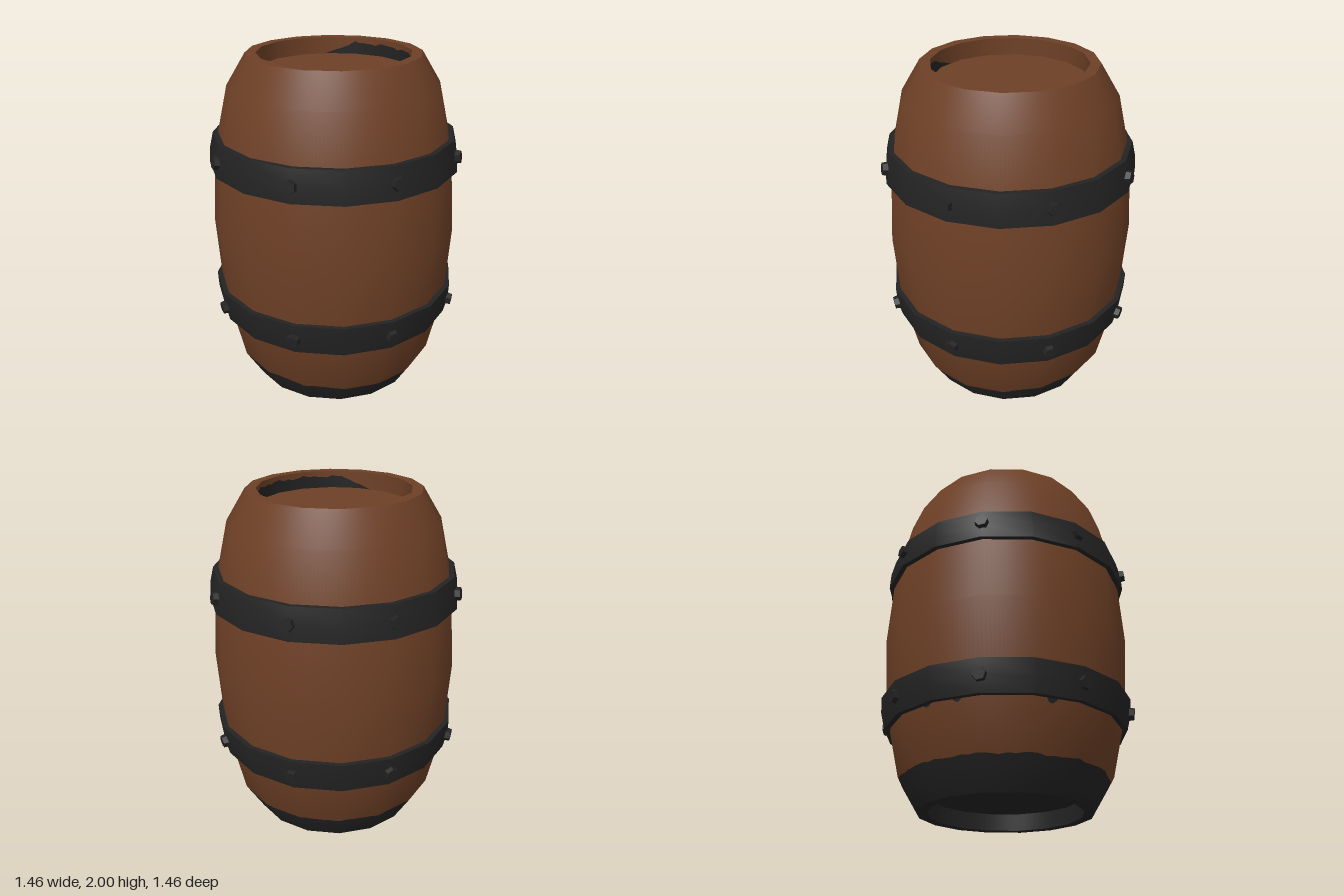
import * as THREE from 'three';
import { toCreasedNormals } from 'three/addons/utils/BufferGeometryUtils.js';

const SIDES = 16, SPLIT = 12, STEP = (Math.PI * 2) / SIDES;
const RIM = 0.44, RECESS = 0.1;
const DEG = Math.PI / 180;

// Stave profile: radius, height
const PROFILE = [[0.5, 0], [0.61, 0.18], [0.695, 0.55], [0.725, 1], [0.695, 1.45], [0.61, 1.82], [0.5, 2]];

// Profile normals, averaged at each ring so the staves shade smoothly
const segment = PROFILE.slice(1).map(([r, y], i) =>
  new THREE.Vector2(y - PROFILE[i][1], PROFILE[i][0] - r).normalize());
const ringNormals = PROFILE.map((_, i) =>
  (segment[i - 1] ?? segment[i]).clone().add(segment[i] ?? segment[i - 1]).normalize());

function bulge(y) {
  let i = 0;
  while (i < PROFILE.length - 2 && y > PROFILE[i + 1][1]) i++;
  const t = (y - PROFILE[i][1]) / (PROFILE[i + 1][1] - PROFILE[i][1]);
  return {
    r: THREE.MathUtils.lerp(PROFILE[i][0], PROFILE[i + 1][0], t),
    n: ringNormals[i].clone().lerp(ringNormals[i + 1], t).normalize(),
  };
}
const recessWall = () => ({ r: RIM, n: new THREE.Vector2(-1, 0) });

// Sixteen-sided wall between rows whose heights may vary with the angle
function wall(rows, shape, inward = false) {
  const cols = SIDES * SPLIT, pos = [], nor = [], idx = [];
  for (const row of rows) {
    for (let c = 0; c <= cols; c++) {
      const a = (c / cols) * Math.PI * 2;
      const y = typeof row === 'function' ? row(a) : row;
      const { r, n } = shape(y);
      const local = ((c % SPLIT) / SPLIT - 0.5) * STEP;
      const d = r * Math.cos(STEP / 2) / Math.cos(local);
      pos.push(d * Math.sin(a), y, d * Math.cos(a));
      nor.push(n.x * Math.sin(a), n.y, n.x * Math.cos(a));
    }
  }
  for (let j = 0; j < rows.length - 1; j++) {
    for (let c = 0; c < cols; c++) {
      const p = j * (cols + 1) + c, q = p + cols + 1;
      if (inward) idx.push(p, q, p + 1, p + 1, q, q + 1);
      else idx.push(p, p + 1, q, p + 1, q + 1, q);
    }
  }
  const g = new THREE.BufferGeometry();
  g.setAttribute('position', new THREE.Float32BufferAttribute(pos, 3));
  g.setAttribute('normal', new THREE.Float32BufferAttribute(nor, 3));
  g.setIndex(idx);
  return g;
}

// Ragged edges of the dark coating
const ragged = a => 0.6 * Math.sin(13 * a + 1) + 0.4 * Math.sin(29 * a) + 0.3 * Math.sin(47 * a + 2);
const coatTop = a => Math.min(0.179, 0.173 - 0.055 * Math.max(0, Math.cos(a)) + 0.005 * ragged(a));

// Drips under the lower hoop: angle, half width (degrees), lowest height
const DRIPS = [[-44, 3, 0.43], [0, 2, 0.445], [43, 3, 0.435], [90, 6, 0.42], [117, 5, 0.44],
  [126, 4, 0.435], [135, 4, 0.44], [175, 4, 0.44], [191, 3, 0.435], [234, 3, 0.425]];
function dripEdge(a) {
  let y = 0.475;
  for (const [deg, half, low] of DRIPS) {
    const off = Math.abs(Math.atan2(Math.sin(a - deg * DEG), Math.cos(a - deg * DEG))) / DEG;
    if (off < half) y = Math.min(y, low + 0.03 * (off / half) ** 2);
  }
  return y;
}

// Coating inside the top recess covers only part of the wall
function recessCoat(a) {
  const off = Math.abs(Math.atan2(Math.sin(a - 30 * DEG), Math.cos(a - 30 * DEG))) / DEG;
  const fade = THREE.MathUtils.clamp((108 - off) / 25, 0, 1);
  return 2 - RECESS + fade * (0.068 + 0.007 * ragged(a));
}

export function createModel() {
  const barrel = new THREE.Group();
  barrel.name = 'barrel';
  const wood = new THREE.MeshStandardMaterial({ color: 0x6e4026 });
  wood.name = 'brown wood';
  const iron = new THREE.MeshStandardMaterial({ color: 0x232323 });
  iron.name = 'black iron';

  const add = (name, geometry, material, parent = barrel) => {
    const mesh = new THREE.Mesh(geometry, material);
    mesh.name = name;
    parent.add(mesh);
    return mesh;
  };

  // Staves and the dark coating on them
  add('bottomCoating', wall([0, coatTop], bulge), iron);
  add('lowerStaves', wall([coatTop, 0.18, dripEdge], bulge), wood);
  add('hoopDrips', wall([dripEdge, 0.5], bulge), iron);
  add('upperStaves', wall([0.5, 0.55, 1, 1.45, 1.82, 2], bulge), wood);

  // Top rim, recess and lid
  const flat = (g, y, up) => g.rotateX(up ? -Math.PI / 2 : Math.PI / 2).translate(0, y, 0);
  add('topRim', flat(new THREE.RingGeometry(RIM, 0.5, SIDES), 2, true), wood);
  add('topRecess', wall([recessCoat, 2], recessWall, true), wood);
  add('topRecessCoating', wall([2 - RECESS, recessCoat], recessWall, true), iron);
  add('lid', flat(new THREE.CircleGeometry(RIM, SIDES), 2 - RECESS, true), wood);

  // Bottom rim, recess and base
  add('bottomRim', flat(new THREE.RingGeometry(RIM, 0.5, SIDES), 0, false), iron);
  add('bottomRecess', wall([0, RECESS], recessWall, true), iron);
  add('base', flat(new THREE.CircleGeometry(RIM, SIDES), RECESS, false), iron);

  // Two mirrored iron hoops, each with eight rivets
  for (const side of [-1, 1]) {
    const hoop = new THREE.Group();
    hoop.name = side < 0 ? 'lowerHoop' : 'upperHoop';
    hoop.position.y = 1 + side * 0.455;
    barrel.add(hoop);

    const section = [[0.66, -0.092], [0.73, -0.092], [0.725, 0], [0.703, 0.092], [0.66, 0.092]]
      .map(([r, y]) => new THREE.Vector2(r, y * side));
    if (side < 0) section.reverse();
    add('hoopBand', toCreasedNormals(new THREE.LatheGeometry(section, SIDES), 0.6), iron, hoop);

    const rivet = toCreasedNormals(new THREE.CylinderGeometry(0.036, 0.043, 0.05, 6).rotateX(Math.PI / 2), 0.3);
    for (let i = 0; i < 8; i++) {
      const a = (i + 0.5) * Math.PI / 4;
      const mesh = add('rivet', rivet, iron, hoop);
      mesh.position.set(Math.sin(a) * 0.722, 0, Math.cos(a) * 0.722);
      mesh.rotation.set(-side * 0.12, a, i * 0.7, 'YXZ');
    }
  }
  return barrel;
}
